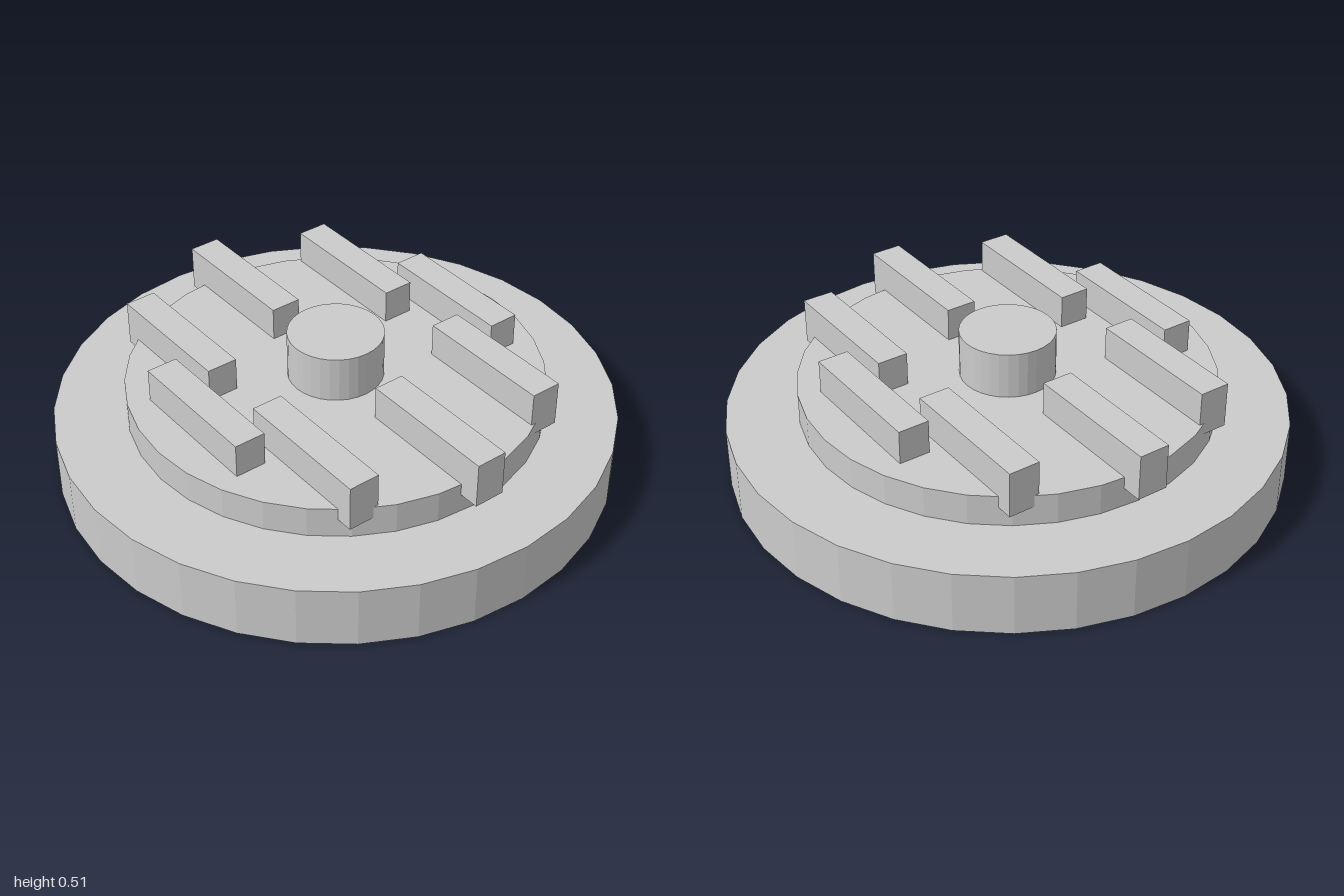
import * as THREE from 'three';

export function createModel() {
  const group = new THREE.Group();
  const material = new THREE.MeshStandardMaterial({ color: 0xcccccc, flatShading: true });

  const add = (name, geometry, x, y, z) => {
    const mesh = new THREE.Mesh(geometry, material);
    mesh.name = name;
    mesh.position.set(x, y, z);
    group.add(mesh);
  };
  const disc = (name, radius, bottom, top) =>
    add(name, new THREE.CylinderGeometry(radius, radius, top - bottom, 32), 0, (bottom + top) / 2, 0);

  // Stacked discs and central hub
  disc('base', 1, 0, 0.229);
  disc('upperDisc', 0.743, 0.229, 0.343);
  disc('hub', 0.171, 0.343, 0.514);

  // Ring of eight bars, all lying parallel to z and sunk slightly into the upper disc
  const bar = new THREE.BoxGeometry(0.114, 0.168, 0.52);
  for (let i = 0; i < 8; i++) {
    const a = (i * Math.PI) / 4;
    add(`bar${i + 1}`, bar, 0.552 * Math.cos(a), 0.383, 0.552 * Math.sin(a));
  }
  return group;
}
